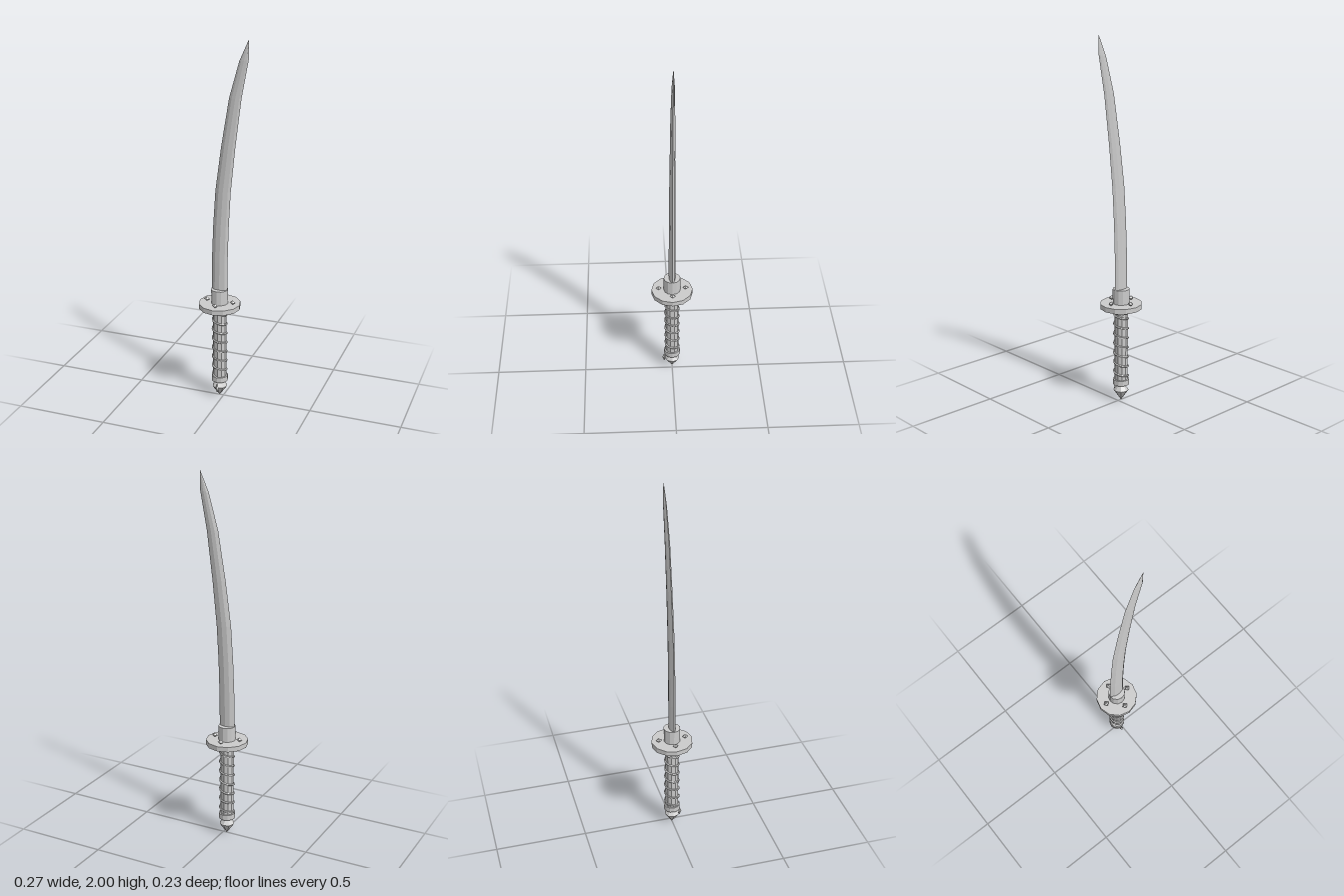
import * as THREE from 'three';

const AXIS = -0.022; // x of the handle axis

export function createModel() {
  const group = new THREE.Group();
  const metal = new THREE.MeshStandardMaterial({ color: 0xcccccc, flatShading: true });

  const add = (name, geometry, x = 0, y = 0, z = 0) => {
    const mesh = new THREE.Mesh(geometry, metal);
    mesh.name = name;
    mesh.position.set(AXIS + x, y, z);
    group.add(mesh);
    return mesh;
  };
  const disc = (name, radius, y0, y1, sides = 12) =>
    add(name, new THREE.CylinderGeometry(radius, radius, y1 - y0, sides), 0, (y0 + y1) / 2);

  // Turned parts stacked along the handle
  disc('guard', 0.114, 0.536, 0.563);
  disc('bladeCollar', 0.046, 0.56, 0.643);
  disc('upperFerrule', 0.045, 0.506, 0.537);
  disc('grip', 0.037, 0.12, 0.51, 10);
  disc('lowerFerrule', 0.045, 0.095, 0.125);

  // Pointed pommel with a short neck
  const profile = [[0, 0], [0.042, 0.06], [0.022, 0.085], [0.022, 0.1]];
  add('pommel', new THREE.LatheGeometry(profile.map(p => new THREE.Vector2(...p)), 8));
  add('pommelSpike', new THREE.OctahedronGeometry(1), 0, 0.062, 0.045).scale.set(0.011, 0.027, 0.011);

  // Cord wound around the grip
  const turns = 7, points = [];
  for (let i = 0; i <= turns * 12; i++) {
    const a = -i / 12 * Math.PI * 2;
    points.push(new THREE.Vector3(0.038 * Math.sin(a + Math.PI), 0.122 + 0.386 * i / (turns * 12), 0.038 * -Math.cos(a)));
  }
  // the spiral falls to the right when seen from the front
  points.forEach(p => { p.z = -p.z; p.x = -p.x; });
  const path = new THREE.CatmullRomCurve3(points);
  add('gripCord', new THREE.TubeGeometry(path, turns * 16, 0.006, 5));

  // Four diamond studs on the guard
  for (let i = 0; i < 4; i++) {
    const a = i * Math.PI / 2;
    add('guardStud', new THREE.OctahedronGeometry(1), 0.074 * Math.cos(a), 0.574, 0.074 * Math.sin(a))
      .scale.set(0.016, 0.013, 0.016);
  }

  const blade = new THREE.Mesh(bladeGeometry(), metal);
  blade.name = 'blade';
  group.add(blade);
  return group;
}

// Curved blade lofted through cross-sections: [y left, x left, y right, x right, half thickness]
function bladeGeometry() {
  const sections = [
    [0.6, -0.068, 0.6, 0.022, 0.018],
    [0.8, -0.066, 0.8, 0.023, 0.018],
    [1.0, -0.058, 1.0, 0.029, 0.017],
    [1.2, -0.045, 1.2, 0.04, 0.016],
    [1.44, -0.013, 1.44, 0.064, 0.014],
    [1.7, 0.03, 1.7, 0.096, 0.012],
    [1.89, 0.083, 1.9, 0.133, 0.008],
    [2.0, 0.132, 2.0, 0.134, 0.0005],
  ];
  const half = [[0, 0], [0.25, 0.8], [0.55, 1], [0.85, 0.65], [1, 0]];
  const ring = [...half, ...half.slice(1, -1).reverse().map(([u, t]) => [u, -t])];
  const n = ring.length, position = [], index = [];
  sections.forEach(([yl, xl, yr, xr, t], i) => {
    for (const [u, w] of ring) position.push(xl + (xr - xl) * u, yl + (yr - yl) * u, w * t);
    if (!i) return;
    for (let j = 0; j < n; j++) {
      const a = (i - 1) * n + j, b = (i - 1) * n + (j + 1) % n;
      index.push(a, b, b + n, a, b + n, a + n);
    }
  });
  // close both ends
  const last = (sections.length - 1) * n;
  for (let j = 1; j < n - 1; j++) index.push(0, j + 1, j, last, last + j, last + j + 1);
  const geometry = new THREE.BufferGeometry();
  geometry.setAttribute('position', new THREE.Float32BufferAttribute(position, 3));
  geometry.setIndex(index);
  geometry.computeVertexNormals();
  return geometry;
}
